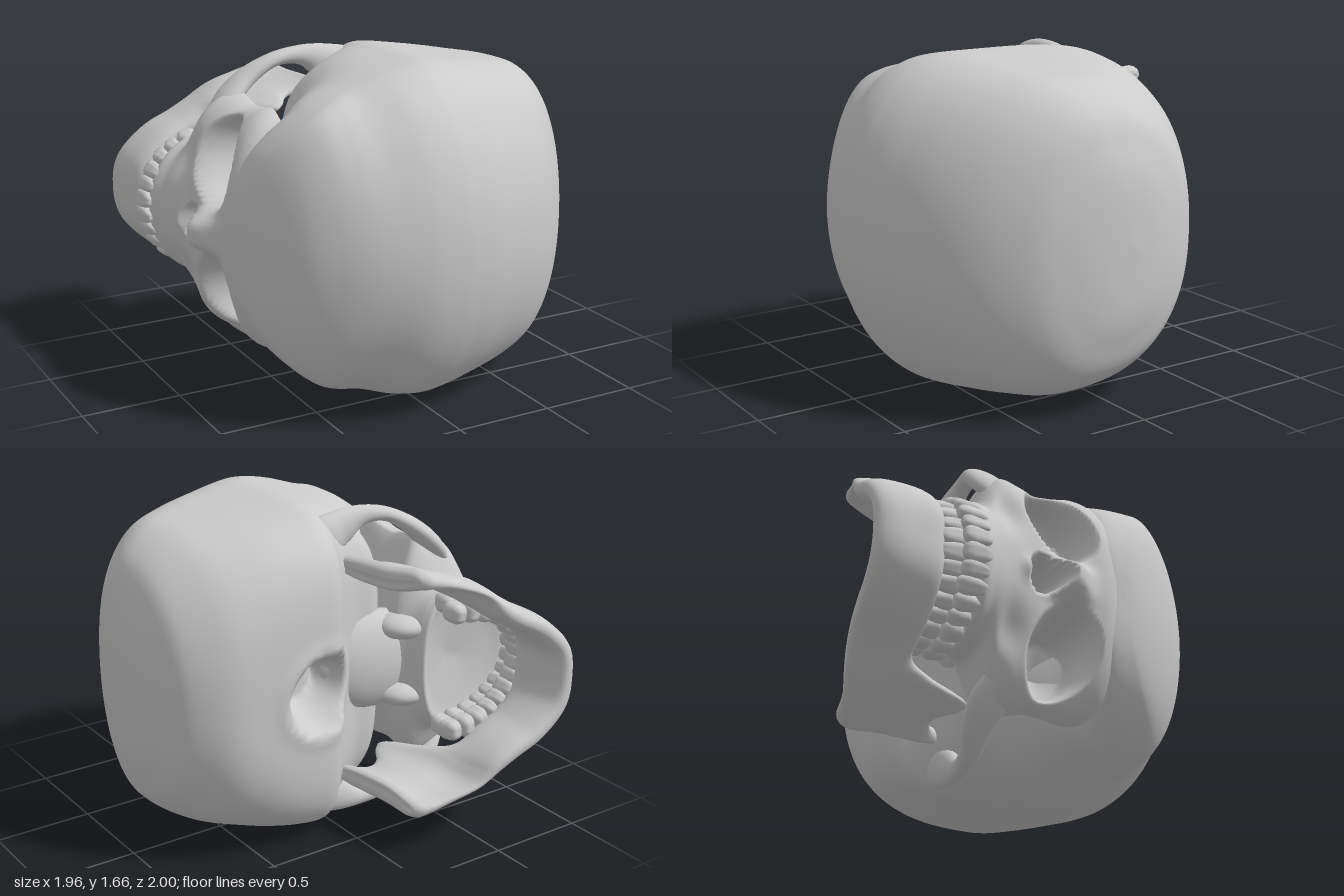
import * as THREE from 'three';
import { mergeVertices } from 'three/addons/utils/BufferGeometryUtils.js';
import { ParametricGeometry } from 'three/addons/geometries/ParametricGeometry.js';
import { RoundedBoxGeometry } from 'three/addons/geometries/RoundedBoxGeometry.js';

// Modelled upright (x sideways, y up, z to the face), then laid on its side at the end.
const bone = new THREE.MeshStandardMaterial({ color: 0xcccccc, side: THREE.DoubleSide });
const { smoothstep: smooth, lerp } = THREE.MathUtils;
const bump = (a, b) => Math.exp(-a * a - b * b);

// Point on a unit superellipse: n = 2 is round, higher is boxier
function oval(a, n) {
  const c = Math.cos(a), s = Math.sin(a);
  const r = (Math.abs(c) ** n + Math.abs(s) ** n) ** (-1 / n);
  return [r * c, r * s];
}

// Smooth interpolation through the rows of a table, t from 0 to 1
function table(rows) {
  const curve = new THREE.CubicInterpolant(rows.map((_, i) => i), rows.flat(), rows[0].length);
  return t => Array.from(curve.evaluate(THREE.MathUtils.clamp(t, 0, 1) * (rows.length - 1)));
}

// Closed smooth skin from a rule: angle around the section, t along the part
function skin(name, rule, around, along) {
  let geo = new ParametricGeometry((u, v, p) => p.set(...rule((u % 1) * Math.PI * 2, v)), around, along);
  geo.deleteAttribute('normal');
  geo.deleteAttribute('uv');
  geo = mergeVertices(geo, 1e-5);
  geo.computeVertexNormals();
  const mesh = new THREE.Mesh(geo, bone);
  mesh.name = name;
  return mesh;
}

// Sweep with upright oval sections; rows are x, y, z, half thickness, half height
function sweep(name, rows, along, n = 2, warp = p => p) {
  const at = table(rows);
  return skin(name, (a, t) => {
    const [x, y, z, thick, high] = at(t);
    const p = at(t - 0.004), q = at(t + 0.004);
    const dx = q[0] - p[0], dz = q[2] - p[2], len = Math.hypot(dx, dz) || 1;
    const [c, s] = oval(a, n), side = c * thick;
    return warp([x + side * dz / len, y + s * high, z - side * dx / len]);
  }, 32, along);
}

function ellipsoid(name, pos, size) {
  const mesh = new THREE.Mesh(new THREE.SphereGeometry(1, 28, 20), bone);
  mesh.name = name;
  mesh.position.set(...pos);
  mesh.scale.set(...size);
  return mesh;
}

// Braincase: sections from the back to the forehead (z, bottom, top, half width)
function cranium() {
  const at = table([
    [-0.978, 0.05, 0.05, 0], [-0.963, -0.1, 0.22, 0.29], [-0.925, -0.23, 0.38, 0.46],
    [-0.855, -0.36, 0.55, 0.62], [-0.7, -0.47, 0.74, 0.735], [-0.5, -0.505, 0.88, 0.775],
    [-0.25, -0.51, 0.97, 0.81], [-0.1, -0.485, 0.995, 0.83], [0.0, -0.37, 1, 0.82],
    [0.14, -0.28, 0.99, 0.79], [0.3, -0.24, 0.95, 0.74], [0.43, -0.02, 0.9, 0.7],
    [0.54, 0.17, 0.835, 0.645], [0.65, 0.2, 0.745, 0.555], [0.74, 0.2, 0.62, 0.44],
    [0.8, 0.22, 0.49, 0.3], [0.825, 0.27, 0.4, 0.16], [0.83, 0.33, 0.33, 0],
  ]);
  return skin('cranium', (a, t) => {
    const [z, lo, hi, w] = at(t);
    const mid = lo + 0.6 * (hi - lo);
    const lower = Math.sin(a) < 0;
    const boxy = lower
      ? lerp(2.3, 5.2, smooth(z, -0.85, -0.15)) - 1.2 * smooth(z, 0.1, 0.5)
      : lerp(2.1, 1.85, smooth(z, 0, 0.5));
    const [c, s] = oval(a, boxy);
    let x = w * c;
    let y = mid + s * (lower ? mid - lo : hi - mid);
    // hollow temples behind the eye sockets
    x *= 1 - 0.2 * bump((z - 0.43) / 0.16, (y + 0.06) / 0.25);
    // spinal opening in the base
    if (y < -0.2) {
      const d = Math.hypot(x / 0.18, (z + 0.2) / 0.19);
      y += 0.28 * (1 - smooth(d, 0.65, 1.12)) - 0.012 * bump((d - 1.25) / 0.2, 0);
    }
    return [x, y, z];
  }, 150, 160);
}

// Face: level sections from brow to palate (y, half width, back z, widest z, front z)
function face() {
  const at = table([
    [0.42, 0, 0.45, 0.5, 0.55], [0.4, 0.36, 0.42, 0.5, 0.68], [0.33, 0.48, 0.4, 0.54, 0.8],
    [0.25, 0.565, 0.38, 0.555, 0.835], [0.16, 0.6, 0.35, 0.54, 0.83], [0.05, 0.585, 0.33, 0.53, 0.82],
    [-0.06, 0.575, 0.31, 0.53, 0.83], [-0.16, 0.6, 0.31, 0.53, 0.85], [-0.25, 0.61, 0.31, 0.53, 0.87],
    [-0.32, 0.54, 0.33, 0.53, 0.885], [-0.39, 0.4, 0.38, 0.56, 0.91], [-0.45, 0.375, 0.4, 0.6, 0.94],
    [-0.48, 0.35, 0.42, 0.6, 0.925], [-0.46, 0.25, 0.46, 0.6, 0.84], [-0.43, 0, 0.6, 0.62, 0.64],
  ]);
  return skin('face', (a, t) => {
    const [y, w, back, wide, front] = at(t);
    const ahead = Math.sin(a) > 0;
    // pinched behind the eye sockets, fuller around the upper jaw
    const [c, s] = oval(a, ahead ? 2.1 : lerp(2.4, 1.25, smooth(y, -0.4, -0.2)));
    const x = w * c, ax = Math.abs(x);
    let z = wide + s * (ahead ? front - wide : wide - back);
    if (ahead && t < 0.82) {
      // hollow under the cheekbones, then the blunt nasal bridge
      z -= 0.05 * bump((ax - 0.3) / 0.12, (y + 0.28) / 0.08);
      z += 0.115 * bump((x / 0.095) ** 2, (y - 0.02) / 0.1) + 0.03 * bump(x / 0.05, (y + 0.21) / 0.04);
      // eye sockets
      const eye = Math.hypot((ax - 0.335) / 0.2, (y - 0.015 + 0.15 * (ax - 0.335)) / 0.175);
      z = lerp(z, Math.min(z, 0.43 + 0.1 * eye), 1 - smooth(eye, 0.75, 1.12));
      // pear-shaped nasal opening
      const nose = Math.hypot(x / (0.085 - 0.3 * (y + 0.1)), (y + 0.1) / 0.1);
      z = lerp(z, 0.62, 1 - smooth(nose, 0.7, 1.1));
    }
    return [x, y, z];
  }, 180, 110);
}

// Jaw: half profile from chin to hinge (x, lower edge, upper edge, z, half thickness)
function mandible() {
  const half = [
    [0.15, -1, -0.655, 0.865, 0.06], [0.27, -0.99, -0.65, 0.755, 0.058],
    [0.345, -0.97, -0.645, 0.62, 0.056], [0.405, -0.95, -0.63, 0.525, 0.054],
    [0.445, -0.935, -0.5, 0.475, 0.045], [0.48, -0.92, -0.27, 0.425, 0.035],
    [0.505, -0.9, -0.27, 0.37, 0.032], [0.525, -0.875, -0.35, 0.3, 0.035],
    [0.54, -0.86, -0.37, 0.24, 0.04], [0.55, -0.848, -0.33, 0.18, 0.05],
    [0.555, -0.835, -0.255, 0.14, 0.06], [0.56, -0.81, -0.265, 0.115, 0.045], [0.56, -0.78, -0.3, 0.105, 0],
  ].map(([x, lo, hi, z, t]) => [x, (lo + hi) / 2, z, t, (hi - lo) / 2]);
  const rows = [...half.map(([x, ...r]) => [-x, ...r]).reverse(), [0, -0.828, 0.885, 0.06, 0.172], ...half];
  return sweep('mandible', rows, 200, 2.6, ([x, y, z]) => {
    const ramus = 1 - smooth(z, 0.4, 0.58);
    // rear branches lean back and splay at the angle; the chin juts forward
    const lean = -0.16 * (y + 0.8) * ramus;
    const splay = 1 + 0.06 * ramus * bump((y + 0.79) / 0.12, 0);
    const chin = 0.025 * bump(x / 0.2, (y + 0.95) / 0.13) * smooth(z, 0.7, 0.9);
    return [x * splay, y, z + lean + chin];
  });
}

// A row of sixteen teeth along the dental arch; root is 1 for roots upward, -1 for downward
function teeth(name, y, scale, root) {
  const row = new THREE.Group();
  row.name = name;
  const arch = new THREE.CatmullRomCurve3([[-0.325, 0.46], [-0.3, 0.68], [-0.185, 0.86], [0, 0.93],
    [0.185, 0.86], [0.3, 0.68], [0.325, 0.46]].map(([x, z]) => new THREE.Vector3(x * scale, 0, z * scale)));
  // crowns narrow toward the root
  const crown = new RoundedBoxGeometry(1, 1, 1, 3, 0.36);
  const pos = crown.attributes.position;
  for (let i = 0; i < pos.count; i++) {
    const k = 1 - 0.28 * smooth(pos.getY(i) * root, -0.2, 0.5);
    pos.setX(i, pos.getX(i) * k);
  }
  const widths = [0.09, 0.078, 0.086, 0.082, 0.082, 0.105, 0.1, 0.095];
  const depths = [0.06, 0.06, 0.075, 0.09, 0.095, 0.11, 0.11, 0.1];
  const total = widths.reduce((a, b) => a + b);
  for (const side of [-1, 1]) {
    let run = 0;
    widths.forEach((w, i) => {
      const t = 0.5 + side * (run + w / 2) / total / 2;
      const dir = arch.getTangentAt(t);
      const tooth = new THREE.Mesh(crown, bone);
      tooth.name = 'tooth';
      tooth.position.copy(arch.getPointAt(t)).setY(y);
      tooth.rotation.set(-0.08 * root, Math.atan2(-dir.z, dir.x), 0, 'YXZ');
      tooth.scale.set(w * 1.04, (i === 2 ? 0.16 : 0.145) - 0.003 * i, depths[i]);
      row.add(tooth);
      run += w;
    });
  }
  return row;
}

export function createModel() {
  const skull = new THREE.Group();
  skull.name = 'skull';
  skull.add(cranium(), face(), mandible(), teeth('upperTeeth', -0.515, 1.02, 1), teeth('lowerTeeth', -0.618, 0.97, -1));

  for (const [side, k] of [['left', 1], ['right', -1]]) {
    // cheek arch from the cheekbone back to a broad root in the temple
    skull.add(sweep(side + 'CheekArch', [
      [0.36, -0.2, 0.73, 0, 0.03], [0.45, -0.235, 0.68, 0.035, 0.08], [0.56, -0.27, 0.59, 0.05, 0.1],
      [0.665, -0.28, 0.475, 0.045, 0.075], [0.745, -0.25, 0.34, 0.036, 0.052], [0.76, -0.23, 0.2, 0.05, 0.045],
      [0.72, -0.225, 0.08, 0.09, 0.055], [0.66, -0.22, -0.04, 0.11, 0.07], [0.58, -0.2, -0.14, 0, 0],
    ].map(([x, ...r]) => [k * x, ...r]), 60));
    skull.add(ellipsoid(side + 'Pterygoid', [k * 0.18, -0.31, 0.4], [0.07, 0.14, 0.14]));
  }
  // bony column between the skull base and the palate
  skull.add(ellipsoid('baseBridge', [0, -0.24, 0.27], [0.26, 0.13, 0.32]));

  // lay it on its side: face to -x, crown to +z
  const basis = new THREE.Matrix4().makeBasis(
    new THREE.Vector3(0, -1, 0), new THREE.Vector3(0, 0, 1), new THREE.Vector3(-1, 0, 0));
  skull.quaternion.setFromRotationMatrix(basis);
  skull.position.y = 0.835;
  const model = new THREE.Group();
  model.name = 'model';
  model.add(skull);
  return model;
}
